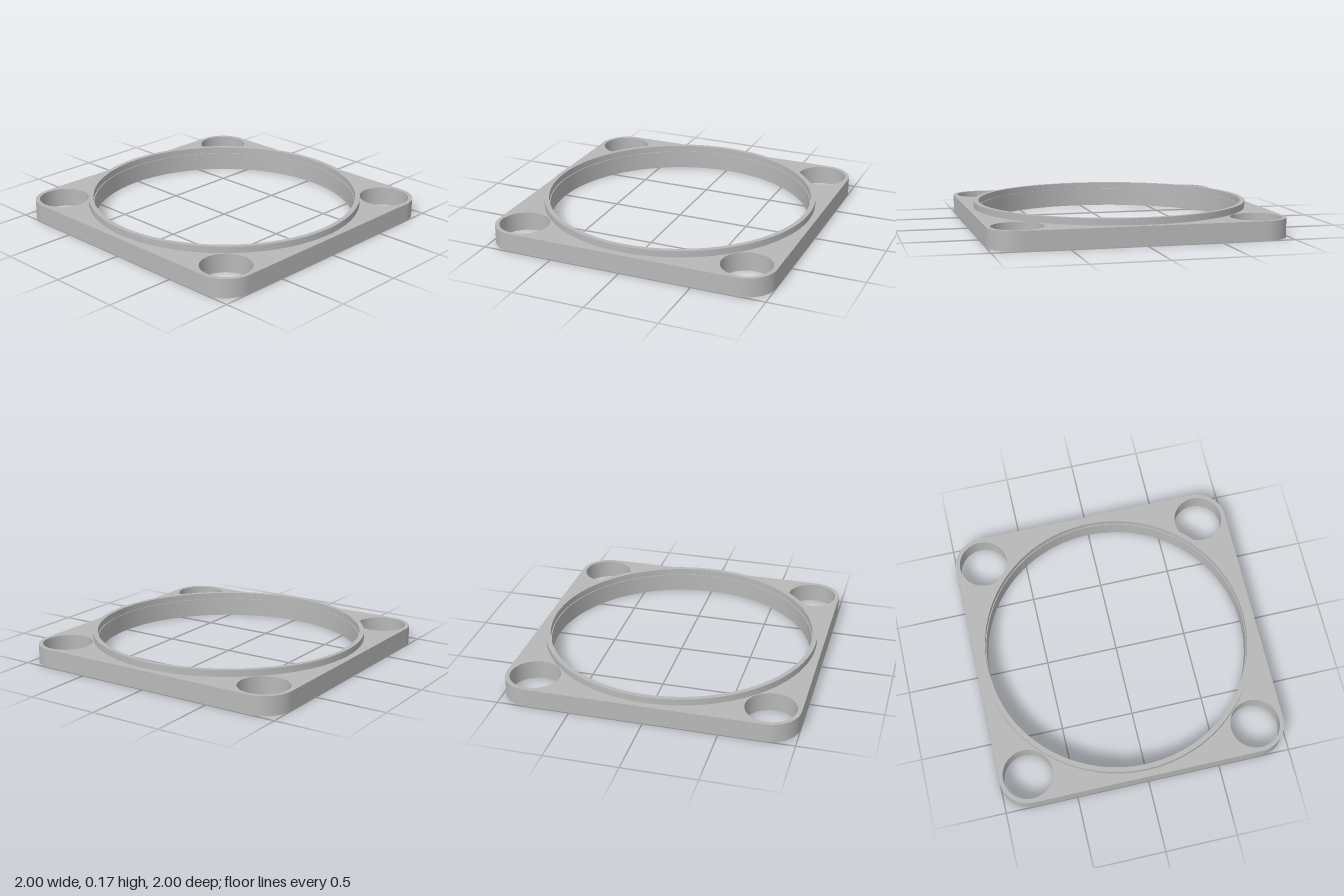
import * as THREE from 'three';
import { toCreasedNormals } from 'three/addons/utils/BufferGeometryUtils.js';

const PLATE_HEIGHT = 0.13;
const RING_HEIGHT = 0.045;

function circle(path, x, y, radius) {
  path.absarc(x, y, radius, 0, Math.PI * 2, false);
  return path;
}

// Extrude a flat outline upwards from y = 0, smooth on curves, sharp on edges
function slab(shape, height) {
  const geometry = new THREE.ExtrudeGeometry(shape, { depth: height, bevelEnabled: false, curveSegments: 96 });
  geometry.rotateX(-Math.PI / 2);
  return toCreasedNormals(geometry, Math.PI / 6);
}

export function createModel() {
  const model = new THREE.Group();
  model.name = 'mountingFrame';
  const grey = new THREE.MeshStandardMaterial({ color: 0xb8b8b8 });
  grey.name = 'light grey';

  // Square plate with rounded corners, a central bore and four corner holes
  const outline = new THREE.Shape();
  const c = 0.8;
  [[c, c], [-c, c], [-c, -c], [c, -c]].forEach(([x, y], i) => {
    outline.absarc(x, y, 0.2, i * Math.PI / 2, (i + 1) * Math.PI / 2, false);
    outline.holes.push(circle(new THREE.Path(), x, y, 0.171));
  });
  outline.closePath();
  outline.holes.push(circle(new THREE.Path(), 0, 0, 0.915));
  const plate = new THREE.Mesh(slab(outline, PLATE_HEIGHT), grey);
  plate.name = 'plate';

  // Raised collar, set back slightly from the bore to leave a fine ledge
  const rim = circle(new THREE.Shape(), 0, 0, 0.954);
  rim.holes.push(circle(new THREE.Path(), 0, 0, 0.921));
  const collar = new THREE.Mesh(slab(rim, RING_HEIGHT), grey);
  collar.name = 'collar';
  collar.position.y = PLATE_HEIGHT;

  model.add(plate, collar);
  return model;
}
